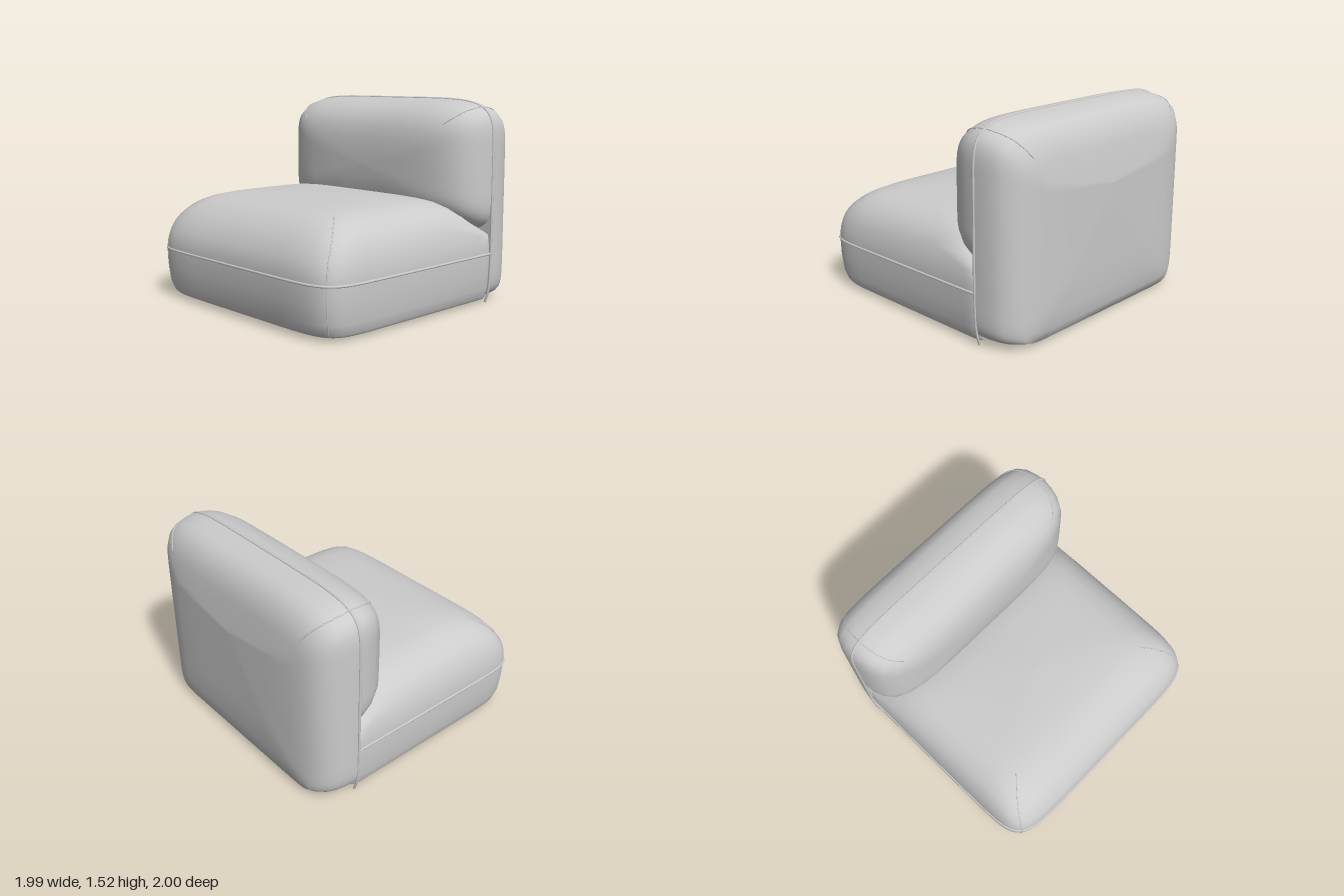
import * as THREE from 'three';
import { mergeGeometries } from 'three/addons/utils/BufferGeometryUtils.js';

const N = 96; // points per cross-section
const material = new THREE.MeshStandardMaterial({ color: 0xcccccc, side: THREE.DoubleSide });
const power = (v, n) => Math.sign(v) * Math.abs(v) ** (2 / n);

// Rounded-square outline around (0, mid), with its own reach and squareness on each side of mid
function outline(halfWidth, mid, high, low, nHigh, nLow) {
  return Array.from({ length: N }, (_, j) => {
    const t = (j / N) * Math.PI * 2, c = Math.cos(t), s = Math.sin(t);
    const n = s >= 0 ? nHigh : nLow;
    return [halfWidth * power(c, n), mid + (s >= 0 ? high - mid : mid - low) * power(s, n)];
  });
}

// Skin over a stack of rings
function skin(rings) {
  const index = [];
  for (let i = 0; i < rings.length - 1; i++) {
    for (let j = 0; j < N; j++) {
      const a = i * N + j, b = i * N + (j + 1) % N;
      index.push(a, a + N, b, b, a + N, b + N);
    }
  }
  const g = new THREE.BufferGeometry().setFromPoints(rings.flat());
  g.setIndex(index);
  g.computeVertexNormals();
  return g;
}

// Skin plus flat, sharp-edged end caps
function loft(rings) {
  const collapse = (ring) => {
    const c = ring.reduce((s, p) => s.add(p), new THREE.Vector3()).divideScalar(N);
    return ring.map(() => c.clone());
  };
  const first = rings[0], last = rings[rings.length - 1];
  return mergeGeometries([skin(rings), skin([collapse(first), first]), skin([last, collapse(last)])]);
}

function add(group, name, geometry) {
  const mesh = new THREE.Mesh(geometry, material);
  mesh.name = name;
  group.add(mesh);
}

function piping(group, name, points, radius) {
  const curve = new THREE.CatmullRomCurve3(points);
  add(group, name, new THREE.TubeGeometry(curve, 200, radius, 8));
}

export function createModel() {
  const model = new THREE.Group();
  model.name = 'armlessLoungeChair';

  // Seat: y, half width, front z, back z, squareness
  const seat = [
    [0.03, 0.94, 0.93, -0.68, 8], [0.05, 0.955, 0.95, -0.68, 8], [0.12, 0.975, 0.975, -0.68, 8],
    [0.25, 0.985, 0.99, -0.68, 8], [0.38, 0.988, 0.993, -0.68, 8], [0.45, 0.983, 0.985, -0.68, 8],
    [0.52, 0.97, 0.965, -0.68, 8], [0.6, 0.945, 0.92, -0.64, 8], [0.67, 0.9, 0.86, -0.57, 7.5],
    [0.73, 0.835, 0.785, -0.48, 7], [0.77, 0.755, 0.7, -0.4, 6.5], [0.795, 0.655, 0.59, -0.29, 6],
    [0.808, 0.5, 0.46, -0.18, 5], [0.816, 0.3, 0.33, 0, 4], [0.82, 0, 0.2, 0.2, 4],
  ].map(([y, w, front, back, n]) =>
    outline(w, 0.2, front, back, n, y < 0.55 ? 30 : n).map(([x, z]) => new THREE.Vector3(x, y, z)));
  add(model, 'seatCushion', loft(seat));

  // Backrest layers: z, half width, top y, bottom y
  const backLayers = (rows, nLow) => rows.map(([z, w, top, bottom]) =>
    outline(w, 1, top, bottom, 6, nLow).map(([x, y]) => new THREE.Vector3(x, y, z)));

  const pillow = backLayers([
    [-0.29, 0, 1, 1], [-0.293, 0.35, 1.1, 0.9], [-0.303, 0.58, 1.21, 0.79], [-0.325, 0.72, 1.3, 0.73],
    [-0.36, 0.83, 1.375, 0.68], [-0.42, 0.915, 1.44, 0.615], [-0.5, 0.96, 1.487, 0.56],
    [-0.58, 0.98, 1.508, 0.52], [-0.65, 0.986, 1.515, 0.51],
  ], 6);
  add(model, 'backPillow', loft(pillow));

  // Back shell reaches down to the underside of the seat
  const shell = backLayers([
    [-0.65, 0.986, 1.515, 0.03], [-0.72, 0.983, 1.508, 0.03], [-0.8, 0.968, 1.49, 0.03],
    [-0.86, 0.94, 1.46, 0.03], [-0.91, 0.89, 1.4, 0.03], [-0.94, 0.835, 1.33, 0.03],
    [-0.96, 0.77, 1.26, 0.09], [-0.98, 0.66, 1.13, 0.2], [-0.993, 0.42, 1.06, 0.42],
    [-1, 0, 1, 1],
  ], 16);
  add(model, 'backShell', loft(shell));

  // Piping round the seat sides and front
  const half = (ring) => ring.slice(0, N / 2 + 1);
  const end = (side) => new THREE.Vector3(side * 0.988, 0.38, -0.65);
  piping(model, 'seatPiping', [end(1), ...half(seat[4]), end(-1)], 0.009);

  // Piping over the backrest, running down both sides to the ground
  const leg = (side) => [[0.945, 0.004], [0.972, 0.1], [0.985, 0.3]]
    .map(([x, y]) => new THREE.Vector3(side * x, y, -0.65));
  piping(model, 'backPiping', [...leg(1), ...half(pillow[8]), ...leg(-1).reverse()], 0.009);

  // Fine corner seams
  for (const [j, side] of [[N / 8, 'left'], [3 * N / 8, 'right']]) {
    const corner = (rings) => rings.map((ring) => ring[j]);
    piping(model, side + 'SeatCornerSeam', corner(seat.slice(0, 11)), 0.004);
    piping(model, side + 'PillowCornerSeam', corner(pillow.slice(4)), 0.004);
    piping(model, side + 'ShellCornerSeam', corner(shell.slice(0, 6)), 0.004);
  }
  return model;
}
